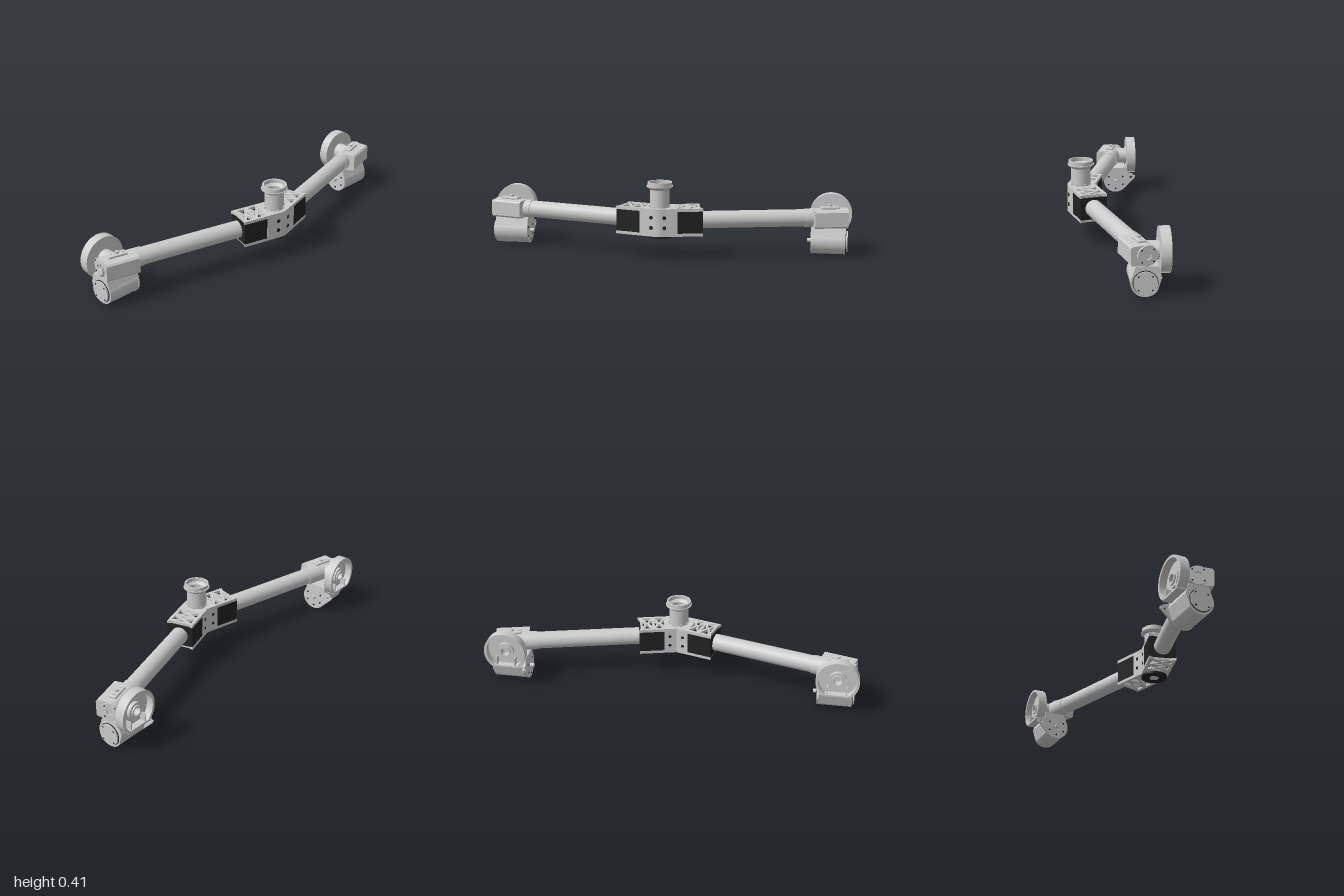
import * as THREE from 'three';
import { RoundedBoxGeometry } from 'three/addons/geometries/RoundedBoxGeometry.js';

const grey = new THREE.MeshStandardMaterial({ color: 0xcccccc });
const black = new THREE.MeshStandardMaterial({ color: 0x222222 });
const TILT = Math.PI / 12, AXIS_Y = 0.205, APEX_Z = 0.15;
const C = Math.cos(TILT), S = Math.sin(TILT);

function add(parent, name, geo, x = 0, y = 0, z = 0, mat = grey) {
  const mesh = new THREE.Mesh(geo, mat);
  mesh.name = name;
  mesh.position.set(x, y, z);
  parent.add(mesh);
  return mesh;
}
const shapeOf = pts => new THREE.Shape(pts.map(p => new THREE.Vector2(...p)));
const hole = (shape, x, y, r) => shape.holes.push(new THREE.Path().absarc(x, y, r, 0, Math.PI * 2, true));
const disc = (r, inner) => {
  const s = new THREE.Shape().absarc(0, 0, r, 0, Math.PI * 2, false);
  if (inner) hole(s, 0, 0, inner);
  return s;
};
const extrude = (shape, depth) => new THREE.ExtrudeGeometry(shape, { depth, bevelEnabled: false, curveSegments: 32 });
// shape x becomes -z, depth runs along +x
const alongX = (shape, depth) => extrude(shape, depth).rotateY(Math.PI / 2);
// shape y becomes -z, depth runs along +y
const alongY = (shape, depth) => extrude(shape, depth).rotateX(-Math.PI / 2);
const rod = (r, len, axis = 'y', n = 32) => {
  const g = new THREE.CylinderGeometry(r, r, len, n);
  return axis === 'x' ? g.rotateZ(-Math.PI / 2) : axis === 'z' ? g.rotateX(Math.PI / 2) : g;
};

// Plan outline of the V-shaped centre bracket, relative to the apex (y = backwards)
function planShape(reach, notch) {
  const at = (u, v, side) => [side * (u * C + v * S), u * S - v * C];
  const end = side => [[reach, -0.073], [reach - notch, -0.045], [reach - notch, 0.045], [reach, 0.073]].map(p => at(...p, side));
  const arc = [];
  for (let i = 0; i <= 12; i++) {
    const a = TILT - (2 * TILT * i) / 12;
    arc.push([0.073 * Math.sin(a), -0.073 * Math.cos(a)]);
  }
  return shapeOf([[0, 0.073 / C], ...end(1), ...arc, ...end(-1).reverse()].reverse());
}

// Bracket sheet with triangular truss cut-outs
function plateShape() {
  const s = planShape(0.222, 0.01);
  for (const side of [1, -1]) for (const u of [0.108, 0.174]) {
    const tris = [
      [[-0.022, 0.056], [0.022, 0.056], [0, 0.008]],
      [[-0.022, -0.056], [0.022, -0.056], [0, -0.008]],
      [[-0.026, 0.034], [-0.026, -0.034], [-0.01, 0]],
      [[0.026, 0.034], [0.026, -0.034], [0.01, 0]],
    ];
    for (const t of tris) s.holes.push(new THREE.Path(t.map(([a, v]) =>
      new THREE.Vector2(side * ((u + a) * C + v * S), (u + a) * S - v * C))));
  }
  return s;
}

function buildCentre(root) {
  const g = new THREE.Group();
  g.name = 'centreBracket';
  g.position.z = APEX_Z;
  root.add(g);
  add(g, 'hubBody', alongY(planShape(0.085, 0), 0.12), 0, 0.143, 0);
  add(g, 'topPlate', alongY(plateShape(), 0.016), 0, 0.262, 0);
  add(g, 'bottomPlate', alongY(plateShape(), 0.016), 0, 0.13, 0);
  add(g, 'bottomCap', rod(0.07, 0.012, 'y', 48), 0, 0.126, 0, black);
  add(g, 'bottomBoss', rod(0.025, 0.004), 0, 0.12, 0);
  // bolts on the hub's front and back
  for (const x of [-0.035, 0.035]) for (const y of [0.177, 0.231]) {
    add(g, 'frontBolt', rod(0.01, 0.006, 'z', 20), x, y, 0.066, black).rotation.y = Math.sign(x) * TILT;
    add(g, 'backBolt', rod(0.008, 0.006, 'z', 20), x, y, -0.085, black).rotation.y = Math.sign(x) * TILT;
  }
  // open flared post
  const profile = [[0.042, 0.276], [0.052, 0.276], [0.052, 0.372], [0.07, 0.387], [0.07, 0.392],
    [0.065, 0.392], [0.065, 0.412], [0.056, 0.412], [0.056, 0.392], [0.042, 0.38], [0.042, 0.276]];
  for (let i = 0; i < profile.length - 1; i++) // one band per profile line keeps edges crisp
    add(g, 'post', new THREE.LatheGeometry([profile[i], profile[i + 1]].map(p => new THREE.Vector2(...p)), 48));
  add(g, 'postFloor', rod(0.043, 0.006), 0, 0.281, 0, black);
  for (let i = 0; i < 8; i++) {
    const a = (i + 0.5) * Math.PI / 4;
    add(g, 'postTab', new THREE.BoxGeometry(0.008, 0.014, 0.006), 0.054 * Math.sin(a), 0.283, 0.054 * Math.cos(a)).rotation.y = a;
  }
}

// Arm along local +x, tilted backwards
function buildArm(side) {
  const arm = new THREE.Group();
  arm.name = 'arm';
  arm.position.set(0, AXIS_Y, APEX_Z);
  arm.rotation.y = TILT;
  side.add(arm);
  add(arm, 'clampBlock', new THREE.BoxGeometry(0.14, 0.118, 0.145), 0.15, -0.001, 0, black);
  add(arm, 'armTube', rod(0.046, 0.62, 'x', 48), 0.51);
  add(arm, 'tubeCollar', rod(0.05, 0.045, 'x', 48), 0.8);
  // gear housing: square front, rounded back
  const s = new THREE.Shape();
  s.moveTo(-0.072, -0.047).lineTo(0, -0.05).absarc(0, 0, 0.05, -Math.PI / 2, Math.PI / 2, false);
  s.lineTo(-0.072, 0.047).lineTo(-0.08, 0.038).lineTo(-0.08, -0.038);
  add(arm, 'gearHousing', alongX(s, 0.18), 0.817);
  const flange = disc(0.05, 0.018);
  add(arm, 'endFlange', alongX(flange, 0.01), 0.997);
  for (let i = 0; i < 4; i++) {
    const a = (i + 0.5) * Math.PI / 2;
    add(arm, 'flangeScrew', rod(0.004, 0.004, 'x', 12), 1.007, 0.041 * Math.sin(a), 0.041 * Math.cos(a), black);
  }
  add(arm, 'topPad', new RoundedBoxGeometry(0.1, 0.014, 0.042, 2, 0.005), 0.91, 0.054, 0.01);
  add(arm, 'topKnob', rod(0.011, 0.02, 'y', 6), 0.91, 0.062, 0.01);
  for (const u of [-0.033, 0.033]) add(arm, 'padScrew', rod(0.006, 0.004, 'y', 16), 0.91 + u, 0.062, 0.01);
}

// Shallow cup facing backwards with its lower edge cut flat
function buildCup(side) {
  const g = new THREE.Group();
  g.name = 'rearCup';
  g.position.set(0.887, AXIS_Y, -0.17);
  g.rotation.y = Math.PI;
  side.add(g);
  const R = 0.113, r = 0.099, cut = 0.08;
  const a = Math.asin(cut / R), b = Math.asin(cut / r);
  const face = new THREE.Shape().absarc(0, 0, R, -a, Math.PI + a, false);
  hole(face, 0, 0, 0.022);
  add(g, 'cupFace', extrude(face, 0.012));
  const rim = new THREE.Shape().absarc(0, 0, R, -a, Math.PI + a, false);
  rim.absarc(0, 0, r, Math.PI + b, -b, true);
  add(g, 'cupRim', extrude(rim, 0.05));
  add(g, 'cupHub', extrude(disc(0.045, 0.022), 0.03));
  add(g, 'hubRing', extrude(disc(0.032, 0.022), 0.038));
  for (const x of [-0.05, 0.05]) add(g, 'cupRib', new THREE.BoxGeometry(0.006, 0.045, 0.036), x, -0.058, 0.025);
  add(g, 'cupShelf', new THREE.BoxGeometry(0.15, 0.01, 0.048), 0, -0.083, 0.024);
  add(g, 'cupNeck', rod(0.045, 0.07, 'z'), 0, 0, -0.035);
}

// Motor hung under the housing, its axis along x
function buildMotor(side) {
  const g = new THREE.Group();
  g.name = 'motor';
  g.position.set(0, 0.073, -0.1);
  side.add(g);
  const rad = d => d * Math.PI / 180;
  const body = new THREE.Shape();
  body.moveTo(0.06, 0.08).lineTo(-0.045, 0.08).lineTo(-0.063, 0.03);
  body.absarc(0, 0, 0.07, rad(155), rad(325), false);
  body.lineTo(0.078, 0.025);
  add(g, 'motorBody', alongX(body, 0.175), 0.795);
  add(g, 'motorCap', rod(0.057, 0.012, 'x', 48), 0.975);
  add(g, 'capGroove', rod(0.06, 0.004, 'x', 48), 0.971, 0, 0, black);
  for (let i = 0; i < 4; i++) {
    const a = (i + 0.5) * Math.PI / 2;
    add(g, 'capScrew', rod(0.004, 0.004, 'x', 12), 0.981, 0.047 * Math.sin(a), 0.047 * Math.cos(a), black);
  }
  // teardrop side plate with a lug
  const plate = new THREE.Shape();
  plate.moveTo(0.07, 0.08).lineTo(-0.045, 0.08).lineTo(-0.065, 0.03);
  plate.absarc(0, 0, 0.0715, rad(155), rad(310), false);
  plate.lineTo(0.118, 0.018).lineTo(0.12, 0.03).lineTo(0.112, 0.03).lineTo(0.106, 0.04).lineTo(0.07, 0.05);
  hole(plate, 0.094, 0.02, 0.008);
  add(g, 'motorSidePlate', alongX(plate, 0.01), 0.785);
  add(g, 'motorShaft', rod(0.011, 0.025, 'x', 20), 0.776);
  for (const d of [30, 150, 210, 270, 330])
    add(g, 'plateScrew', rod(0.005, 0.004, 'x', 12), 0.784, 0.05 * Math.sin(rad(d)), 0.05 * Math.cos(rad(d)), black);
}

// Mirror across x = 0, with the corner order reversed
function mirror(src) {
  const out = new THREE.Group();
  src.updateMatrixWorld(true);
  src.traverse(o => {
    if (!o.isMesh) return;
    const geo = o.geometry.clone().applyMatrix4(new THREE.Matrix4().makeScale(-1, 1, 1).multiply(o.matrixWorld));
    const n = geo.index ? geo.index.count : geo.attributes.position.count;
    const idx = Array.from({ length: n }, (_, i) => (geo.index ? geo.index.getX(i) : i));
    for (let i = 0; i < n; i += 3) [idx[i], idx[i + 1]] = [idx[i + 1], idx[i]];
    geo.setIndex(idx);
    add(out, o.name, geo, 0, 0, 0, o.material);
  });
  return out;
}

export function createModel() {
  const root = new THREE.Group();
  root.name = 'armAssembly';
  buildCentre(root);
  const left = new THREE.Group();
  left.name = 'leftSide';
  buildArm(left);
  buildCup(left);
  buildMotor(left);
  const right = mirror(left);
  right.name = 'rightSide';
  root.add(left, right);
  return root;
}
